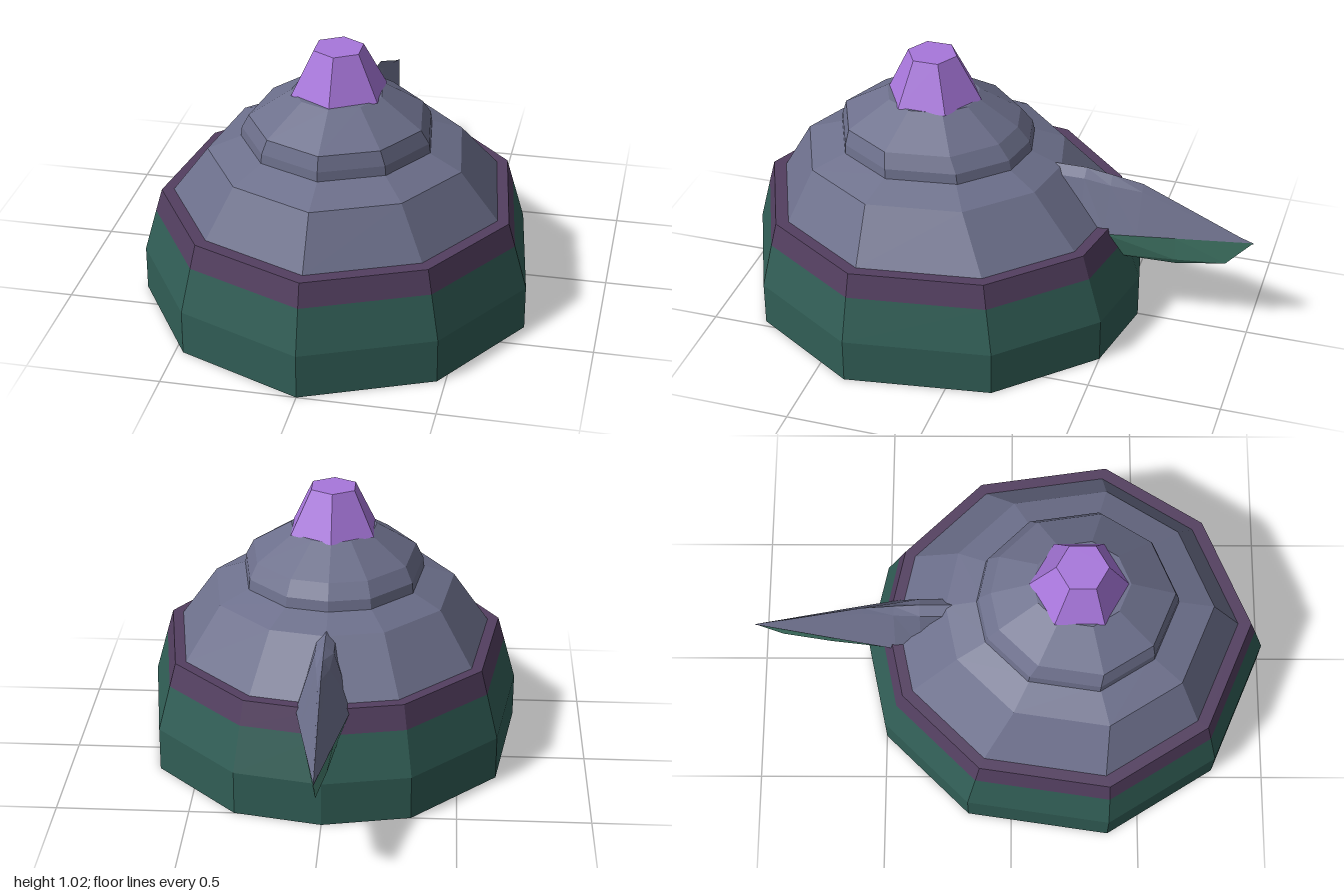
import * as THREE from 'three';

const paint = (name, color, side = THREE.FrontSide) =>
  new THREE.MeshStandardMaterial({ name, color, flatShading: true, side });

// Egg-shaped ten-sided outline [x, z], starting at the front and going round by +x
const half = [[0, 1], [0.47, 0.8], [0.73, 0.38], [0.65, -0.17], [0.33, -0.5], [0, -0.57]];
const outline = [...half, ...half.slice(1, 5).reverse().map(([x, z]) => [-x, z])];

// Outline scaled by s, centred at depth zc, at height y
const ring = ([y, s, zc]) => outline.map(([x, z]) => [x * s, y, zc + s * (z - 0.22)]);

// Regular hexagon with corners to the front and back
const hexagon = (y, r, zc) => Array.from({ length: 6 }, (_, i) =>
  [r * Math.sin(i * Math.PI / 3), y, zc + r * Math.cos(i * Math.PI / 3)]);

// Flat-faced skin across a list of sections, with optional end caps
function loft(name, material, sections, { closed = true, bottom = false, top = false } = {}) {
  const pos = [];
  const tri = (...pts) => pts.forEach((p) => pos.push(...p));
  const n = sections[0].length;
  for (let k = 0; k + 1 < sections.length; k++) {
    const a = sections[k], b = sections[k + 1];
    for (let i = 0; i < (closed ? n : n - 1); i++) {
      const j = (i + 1) % n;
      tri(a[i], a[j], b[j]);
      tri(a[i], b[j], b[i]);
    }
  }
  const first = sections[0], last = sections[sections.length - 1];
  for (let i = 1; i < n - 1; i++) {
    if (bottom) tri(first[0], first[i + 1], first[i]);
    if (top) tri(last[0], last[i], last[i + 1]);
  }
  const geometry = new THREE.BufferGeometry();
  geometry.setAttribute('position', new THREE.Float32BufferAttribute(pos, 3));
  geometry.computeVertexNormals();
  const mesh = new THREE.Mesh(geometry, material);
  mesh.name = name;
  return mesh;
}

export function createModel() {
  const green = paint('dark green', 0x315e56);
  const plum = paint('plum', 0x533f60);
  const slate = paint('slate', 0x6d708c);
  const violet = paint('violet', 0xa877dc);
  const slateThin = paint('slate spike', 0x6d708c, THREE.DoubleSide);
  const jade = paint('jade', 0x4a8775, THREE.DoubleSide);
  const model = new THREE.Group();
  model.name = 'domedShell';

  // Body: green base, plum rim, two stepped domes
  model.add(
    loft('base', green, [[0, 1, 0.22], [0.17, 1, 0.22], [0.34, 0.935, 0.227]].map(ring), { bottom: true }),
    loft('rim', plum, [[0.34, 0.935, 0.227], [0.43, 0.9, 0.23], [0.43, 0.82, 0.225]].map(ring)),
    loft('lowerDome', slate, [[0.43, 0.84, 0.225], [0.62, 0.65, 0.263], [0.675, 0.46, 0.255]].map(ring)),
    loft('upperDome', slate, [[0.665, 0.487, 0.252], [0.705, 0.48, 0.255], [0.76, 0.44, 0.27],
      [0.86, 0.23, 0.262]].map(ring), { bottom: true, top: true }),
    loft('knob', violet, [hexagon(0.855, 0.185, 0.25), hexagon(1.025, 0.096, 0.257)], { top: true }),
  );

  // Rear spike: slate ridge over a jade keel
  const spike = new THREE.Group();
  spike.name = 'rearSpike';
  const ridge = [
    // z, edge half-width, shoulder half-width, shoulder height, top height
    [-0.22, 0.08, 0.035, 0.6, 0.63], [-0.35, 0.095, 0.035, 0.6, 0.63],
    [-0.45, 0.1, 0.025, 0.58, 0.615], [-0.57, 0.079, 0.012, 0.565, 0.595], [-1, 0, 0, 0.405, 0.405],
  ].map(([z, w, s, sy, ty]) =>
    [[-w, 0.41, z], [-s, sy, z], [0, ty, z], [s, sy, z], [w, 0.41, z]]);
  const keel = [
    // edge z, edge half-width, lower z, lower half-width, keel height
    [-0.3, 0.09, -0.3, 0.055, 0.27], [-0.45, 0.1, -0.45, 0.06, 0.265],
    [-0.71, 0.053, -0.71, 0.03, 0.265], [-1, 0, -0.9, 0, 0.3],
  ].map(([z, w, lz, lw, ky]) =>
    [[w, 0.41, z], [lw, 0.3, lz], [0, ky, lz], [-lw, 0.3, lz], [-w, 0.41, z]]);
  spike.add(
    loft('spikeRidge', slateThin, ridge, { closed: false }),
    loft('spikeKeel', jade, keel, { closed: false }),
  );
  model.add(spike);
  return model;
}
